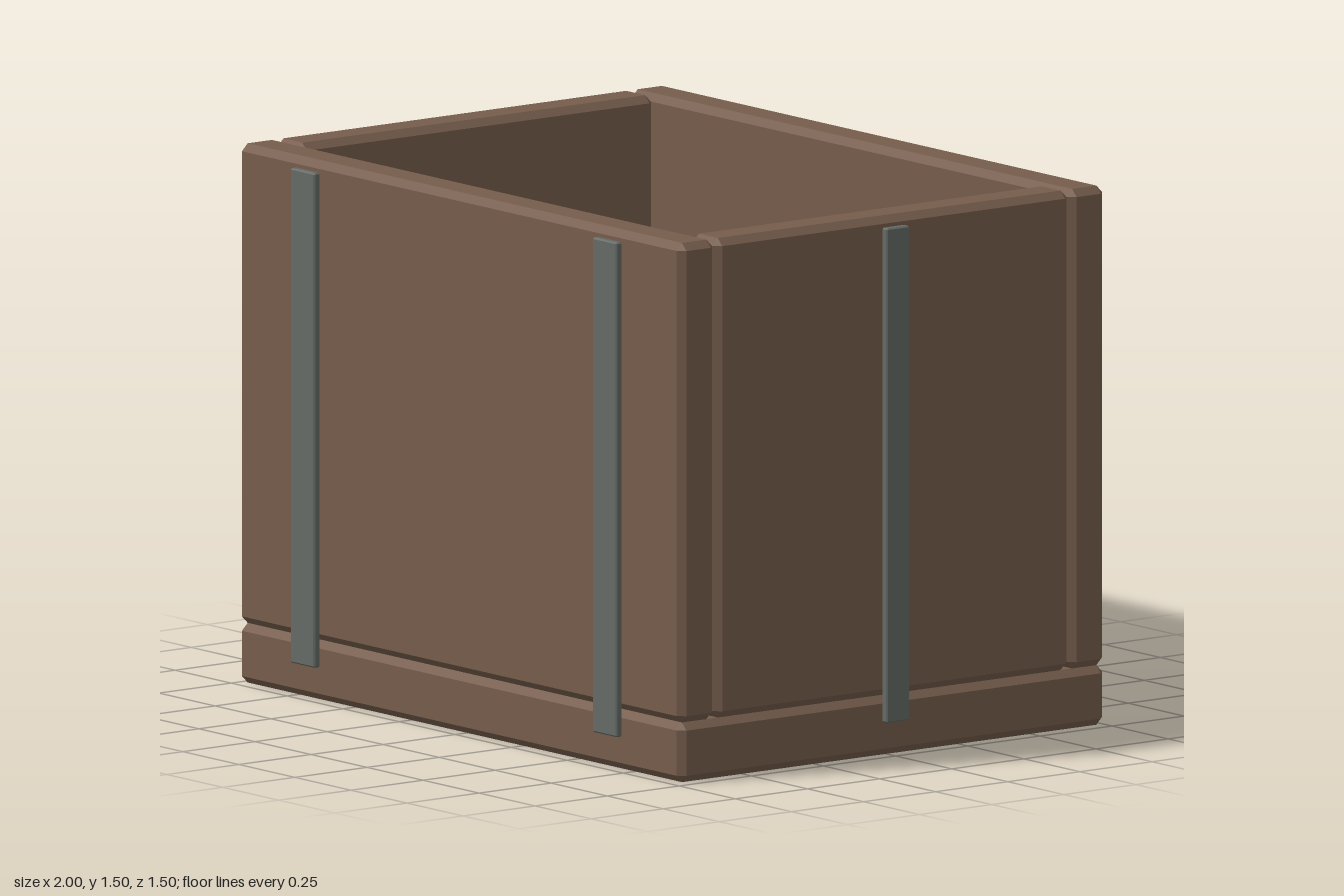
import * as THREE from 'three';
import { ConvexGeometry } from 'three/addons/geometries/ConvexGeometry.js';

// Box between two corners with every edge cut at 45 degrees
function chamferedBox(min, max, bevel) {
  const lo = new THREE.Vector3(...min);
  const hi = new THREE.Vector3(...max);
  const half = hi.clone().sub(lo).multiplyScalar(0.5);
  const points = [];
  for (const sx of [-1, 1]) for (const sy of [-1, 1]) for (const sz of [-1, 1]) {
    for (let axis = 0; axis < 3; axis++) {
      const inset = new THREE.Vector3(bevel, bevel, bevel).setComponent(axis, 0);
      points.push(half.clone().sub(inset).multiply(new THREE.Vector3(sx, sy, sz)));
    }
  }
  const geometry = new ConvexGeometry(points);
  const centre = lo.add(hi).multiplyScalar(0.5);
  return geometry.translate(centre.x, centre.y, centre.z);
}

export function createModel() {
  const group = new THREE.Group();
  group.name = 'crate';
  const wood = new THREE.MeshStandardMaterial({ color: 0x765d4c });
  wood.name = 'brown wood';
  const metal = new THREE.MeshStandardMaterial({ color: 0x656b66 });
  metal.name = 'grey metal';

  function add(name, min, max, bevel, material) {
    const mesh = new THREE.Mesh(chamferedBox(min, max, bevel), material);
    mesh.name = name;
    group.add(mesh);
  }

  const left = 0.978, right = -1, front = 0.728, back = -0.748;
  const seam = 0.166, top = 1.5, thick = 0.124, bevel = 0.02;

  // Floor slab
  add('base', [right, 0, back], [left, seam, front], bevel, wood);

  // Full-width front and back panels
  add('frontPanel', [right, seam, front - thick], [left, top, front], bevel, wood);
  add('backPanel', [right, seam, back], [left, top, back + thick], bevel, wood);

  // Side panels fitted between them
  const z0 = back + thick, z1 = front - thick;
  add('leftPanel', [left - thick, seam, z0], [left, top, z1], bevel, wood);
  add('rightPanel', [right, seam, z0], [right + thick, top, z1], bevel, wood);

  // Metal straps: two on the front, one on the left side
  const y0 = 0.094, y1 = 1.47, edge = 0.004;
  for (const [name, x] of [['frontRightStrap', -0.686], ['frontLeftStrap', 0.662]]) {
    add(name, [x - 0.054, y0, front - 0.002], [x + 0.054, y1, 0.748], edge, metal);
  }
  add('sideStrap', [left - 0.002, y0, -0.049], [1, y1, 0.03], edge, metal);

  return group;
}
